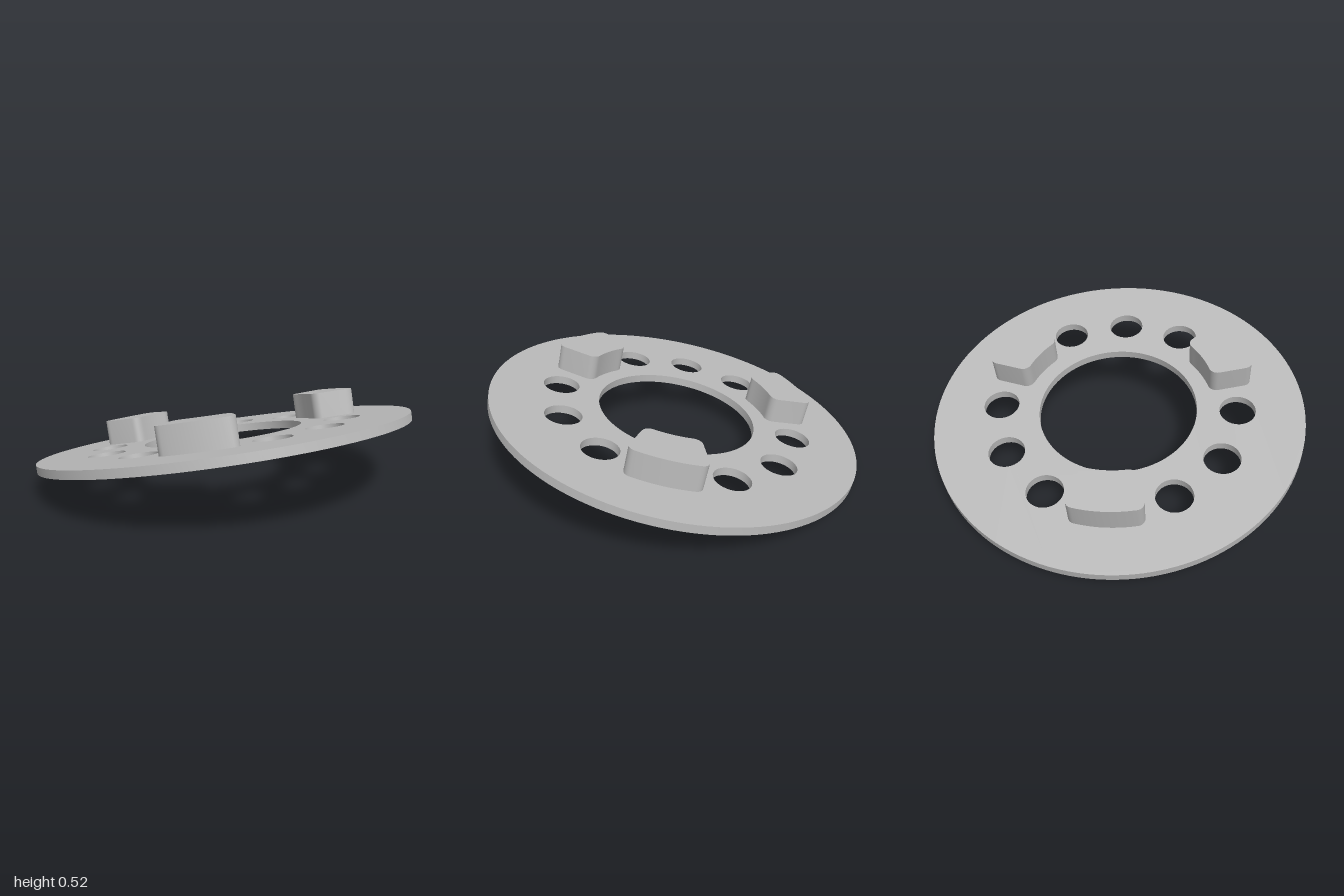
import * as THREE from 'three';
import { toCreasedNormals } from 'three/addons/utils/BufferGeometryUtils.js';

const RADIUS = 1.003, THICK = 0.044, BLOCK_H = 0.14;
const OFFSET = THREE.MathUtils.degToRad(4.7); // rotation of the hole pattern

// Extrude a plan shape upward, starting at height y
function slab(shape, y, height) {
  const g = new THREE.ExtrudeGeometry(shape, { depth: height, bevelEnabled: false, curveSegments: 64 });
  g.rotateX(-Math.PI / 2);
  g.translate(0, y, 0);
  return toCreasedNormals(g, 0.5);
}

function circlePath(x, y, r, n) {
  const pts = [];
  for (let i = 0; i < n; i++) {
    const a = -i / n * Math.PI * 2;
    pts.push(new THREE.Vector2(x + r * Math.cos(a), y + r * Math.sin(a)));
  }
  return new THREE.Path(pts);
}

// Ring sector with rounded corners
function sectorShape(rIn, rOut, half, mid, round) {
  const pts = [];
  const add = (r, a) => pts.push(new THREE.Vector2(r * Math.cos(mid + a), r * Math.sin(mid + a)));
  const corner = (r, rSign, aSign, start) => {
    const ar = round / r;
    for (let i = 0; i <= 6; i++) {
      const t = start + i / 6 * Math.PI / 2;
      add(r - rSign * round + round * Math.cos(t), aSign * (half - ar) + ar * Math.sin(t));
    }
  };
  const arc = (r, sign) => {
    const limit = half - round / r;
    for (let i = 1; i < 10; i++) add(r, sign * limit * (i / 5 - 1));
  };
  corner(rOut, 1, -1, -Math.PI / 2);
  arc(rOut, 1);
  corner(rOut, 1, 1, 0);
  corner(rIn, -1, 1, Math.PI / 2);
  arc(rIn, -1);
  corner(rIn, -1, -1, Math.PI);
  return new THREE.Shape(pts);
}

export function createModel() {
  const group = new THREE.Group();
  group.name = 'tiltedSpacerDisc';
  const grey = new THREE.MeshStandardMaterial({ color: 0xbababa });
  grey.name = 'lightGrey';

  // Disc with a central opening, nine round holes and three blocks
  const disc = new THREE.Shape();
  disc.absarc(0, 0, RADIUS, 0, Math.PI * 2, false);
  disc.holes.push(circlePath(0, 0, 0.43, 96));
  for (let k = 0; k < 12; k++) {
    const a = OFFSET + k * Math.PI / 6;
    if (k % 4 === 1) {
      const block = new THREE.Mesh(
        slab(sectorShape(0.52, 0.755, 0.265, a, 0.042), THICK / 2 - 0.002, BLOCK_H + 0.002), grey);
      block.name = 'raisedBlock' + ((k - 1) / 4 + 1);
      group.add(block);
    } else {
      disc.holes.push(circlePath(0.647 * Math.cos(a), 0.647 * Math.sin(a), 0.097, 40));
    }
  }
  const plate = new THREE.Mesh(slab(disc, -THICK / 2, THICK), grey);
  plate.name = 'discPlate';
  group.add(plate);

  // Tilt the whole part
  const normal = new THREE.Vector3(-0.179, 1, -0.127).normalize();
  group.quaternion.setFromUnitVectors(new THREE.Vector3(0, 1, 0), normal);
  group.position.y = RADIUS * Math.hypot(normal.x, normal.z) + normal.y * THICK / 2;
  const root = new THREE.Group();
  root.add(group);
  return root;
}
